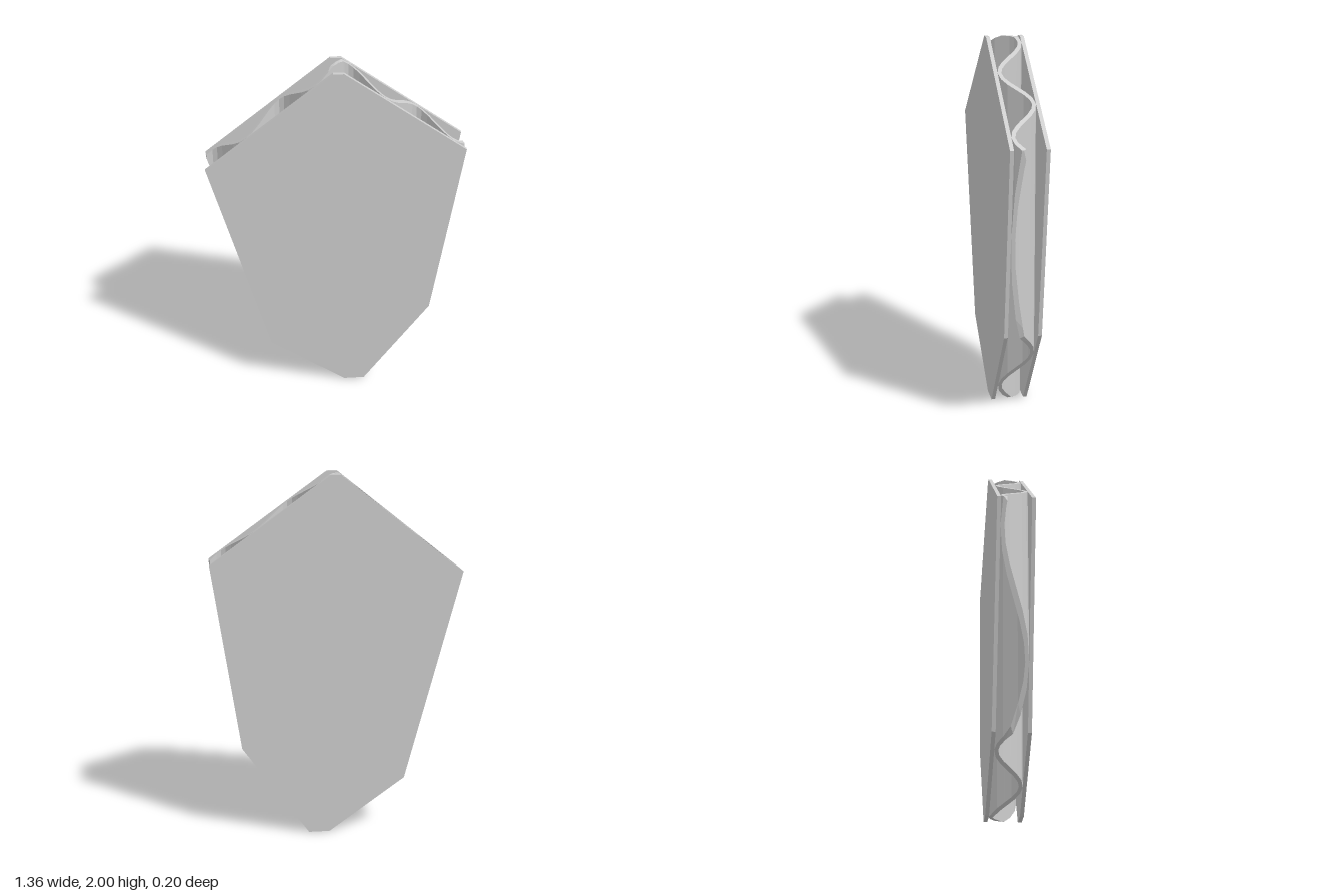
import * as THREE from 'three';

// Outline of the torn board, counter-clockwise from the lower left
const OUTLINE = [
  [0.045, 0], [0.16, 0], [0.525, 0.515], [0.675, 1.54],
  [0.035, 2], [-0.02, 2], [-0.68, 1.475], [-0.375, 0.305],
];
const X0 = -0.68, X1 = 0.675;
const PERIOD = 0.357, CREST = 0.25, AMP = 0.07, THICK = 0.02, STEPS = 12;

// Lowest and highest y of the outline at a given x
function span(x) {
  let lo = Infinity, hi = -Infinity;
  OUTLINE.forEach(([ax, ay], i) => {
    const [bx, by] = OUTLINE[(i + 1) % OUTLINE.length];
    if (x < Math.min(ax, bx) || x > Math.max(ax, bx)) return;
    const y = ay + (by - ay) * (x - ax) / (bx - ax);
    lo = Math.min(lo, y);
    hi = Math.max(hi, y);
  });
  return [lo, hi];
}

// Wavy sheet: a sine band swept along y and trimmed to the outline
function flutedGeometry() {
  const xs = OUTLINE.map(p => p[0]);
  const step = PERIOD / STEPS;
  for (let k = Math.ceil((X0 - CREST) / step); CREST + k * step < X1; k++) xs.push(CREST + k * step);
  xs.sort((a, b) => a - b);

  const w = 2 * Math.PI / PERIOD;
  const rings = xs.map(x => {
    const z = AMP * Math.cos(w * (x - CREST));
    const slope = -AMP * w * Math.sin(w * (x - CREST));
    const len = Math.hypot(1, slope);
    const side = s => {
      const px = THREE.MathUtils.clamp(x - s * slope / len * THICK / 2, X0, X1);
      const [lo, hi] = span(px);
      const pz = z + s / len * THICK / 2;
      return [[px, lo, pz], [px, hi, pz]];
    };
    const [fb, ft] = side(1), [bb, bt] = side(-1);
    return [fb, ft, bt, bb];
  });

  const pos = [];
  const quad = (a, b, c, d) => pos.push(...a, ...b, ...c, ...a, ...c, ...d);
  for (let i = 0; i < rings.length - 1; i++) {
    const p = rings[i], q = rings[i + 1];
    for (let k = 0; k < 4; k++) {
      const n = (k + 1) % 4;
      quad(p[k], q[k], q[n], p[n]);
    }
  }
  quad(...rings[0]);
  quad(...rings[rings.length - 1].slice().reverse());

  const geo = new THREE.BufferGeometry();
  geo.setAttribute('position', new THREE.Float32BufferAttribute(pos, 3));
  geo.computeVertexNormals();
  return geo;
}

export function createModel() {
  const group = new THREE.Group();
  group.name = 'corrugatedBoard';
  const material = new THREE.MeshStandardMaterial({ color: 0xcccccc, flatShading: true, side: THREE.DoubleSide });

  // Flat facing sheets
  const shape = new THREE.Shape(OUTLINE.map(([x, y]) => new THREE.Vector2(x, y)));
  const liner = new THREE.ExtrudeGeometry(shape, { depth: THICK, bevelEnabled: false });
  for (const [name, z] of [['frontSheet', 0.08], ['backSheet', -0.1]]) {
    const sheet = new THREE.Mesh(liner, material);
    sheet.name = name;
    sheet.position.z = z;
    group.add(sheet);
  }

  // Corrugated core
  const core = new THREE.Mesh(flutedGeometry(), material);
  core.name = 'wavyCore';
  group.add(core);
  return group;
}
